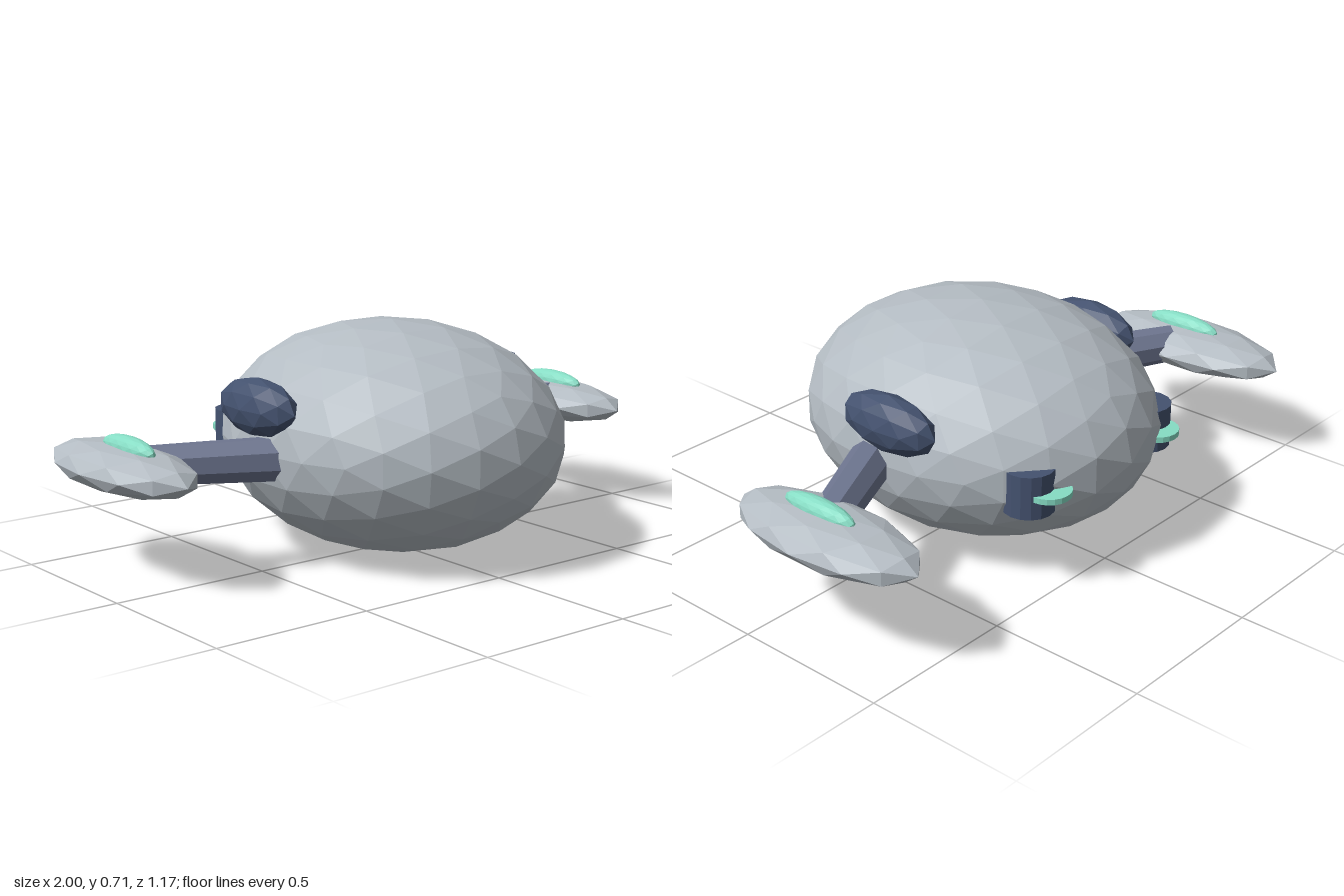
import * as THREE from 'three';

const flat = (color) => new THREE.MeshStandardMaterial({ color, flatShading: true });

function add(parent, name, geometry, material, position = [0, 0, 0]) {
  const mesh = new THREE.Mesh(geometry, material);
  mesh.name = name;
  mesh.position.set(...position);
  parent.add(mesh);
  return mesh;
}

// Faceted ellipsoid with the given radii
const ellipsoid = (rx, ry, rz, detail) =>
  new THREE.IcosahedronGeometry(1, detail).scale(rx, ry, rz);

// Tapered eight-sided beam between two points
function beam(parent, name, from, to, r0, r1, material) {
  const a = new THREE.Vector3(...from);
  const b = new THREE.Vector3(...to);
  const dir = b.clone().sub(a);
  const geometry = new THREE.CylinderGeometry(r1, r0, dir.length(), 8);
  const mesh = add(parent, name, geometry, material);
  mesh.position.copy(a).add(b).multiplyScalar(0.5);
  mesh.quaternion.setFromUnitVectors(new THREE.Vector3(0, 1, 0), dir.normalize());
  return mesh;
}

export function createModel() {
  const model = new THREE.Group();
  model.name = 'podCraft';

  const hull = flat(0xb4bcc3);
  const dark = flat(0x44526f);
  const strut = flat(0x6e7690);
  const glow = flat(0x86dcc4);

  // Main egg-shaped hull
  add(model, 'hull', ellipsoid(0.5, 0.357, 0.587, 3), hull, [0, 0.358, 0]);

  for (const [side, s] of [['left', 1], ['right', -1]]) {
    const half = new THREE.Group();
    half.name = `${side}Side`;
    model.add(half);

    // Shoulder bulge on the flank
    add(half, 'shoulder', ellipsoid(0.07, 0.09, 0.18, 1), dark, [s * 0.465, 0.488, -0.055]);

    // Swept-back arm carrying the pod
    beam(half, 'arm', [s * 0.3, 0.345, 0.1], [s * 0.82, 0.343, -0.155], 0.073, 0.06, strut);

    // Outer pod with a glowing strip on top
    add(half, 'pod', ellipsoid(0.148, 0.07, 0.342, 1), hull, [s * 0.852, 0.338, -0.19]);
    add(half, 'podLight', ellipsoid(0.035, 0.037, 0.135, 2), glow, [s * 0.85, 0.4, -0.16]);

    // Rear thruster drum and its glowing disc
    add(half, 'thruster', new THREE.CylinderGeometry(0.079, 0.079, 0.137, 16), dark,
      [s * 0.278, 0.337, -0.427]);
    add(half, 'thrusterLight', new THREE.CylinderGeometry(0.07, 0.07, 0.018, 20), glow,
      [s * 0.258, 0.335, -0.485]);
  }
  return model;
}
